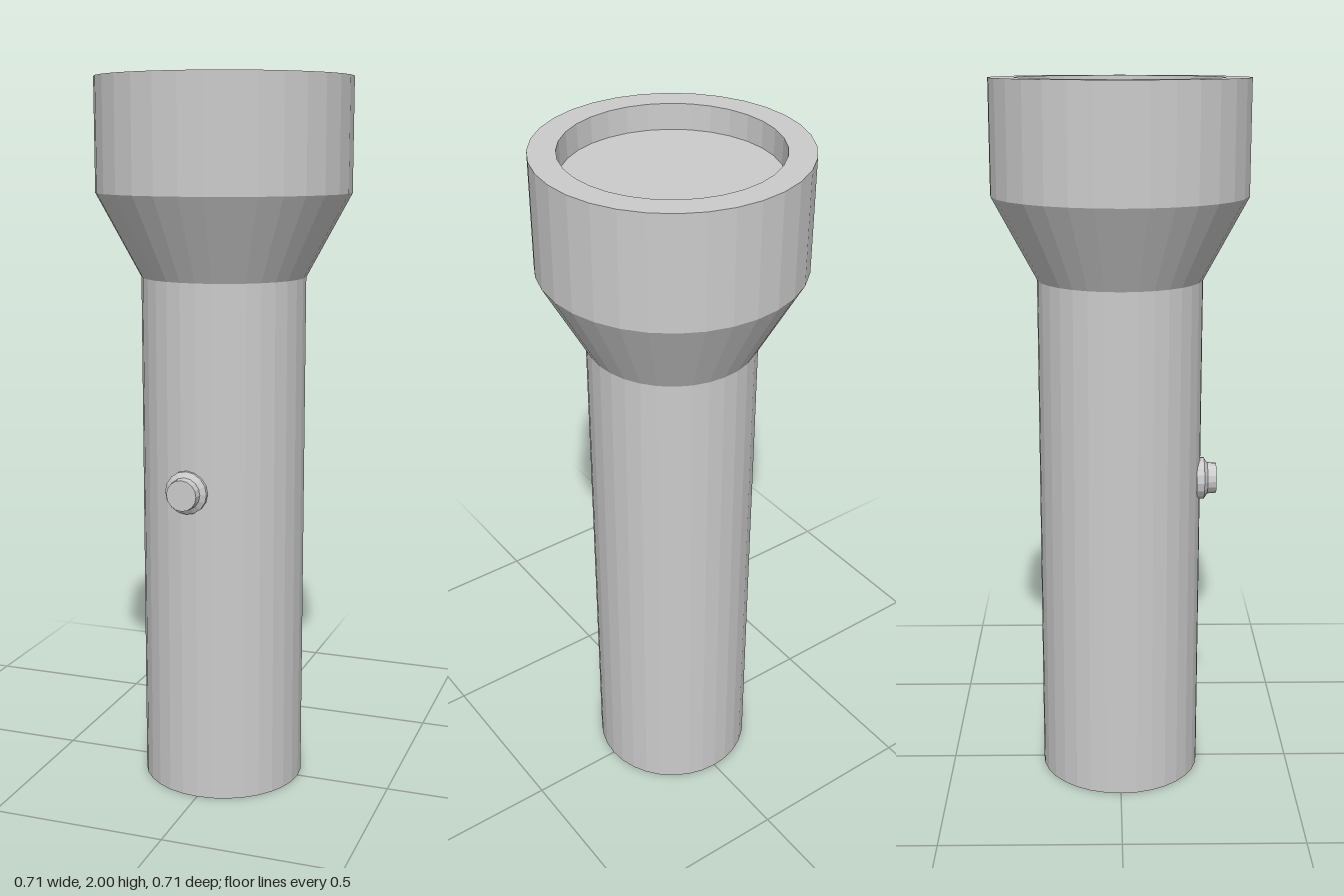
import * as THREE from 'three';

export function createModel() {
  const model = new THREE.Group();
  const material = new THREE.MeshStandardMaterial({ color: 0xcccccc, flatShading: true });

  // Turn a [radius, height] profile into a faceted solid
  const turned = (name, profile, sides) => {
    const points = profile.map(([r, y]) => new THREE.Vector2(r, y));
    const mesh = new THREE.Mesh(new THREE.LatheGeometry(points, sides), material);
    mesh.name = name;
    model.add(mesh);
    return mesh;
  };

  // Straight handle with a closed base
  turned('handle', [[0, 0], [0.23, 0], [0.23, 1.46]], 32);

  // Flared head, flat rim and the wall of the recess
  turned('head', [[0.23, 1.46], [0.354, 1.69], [0.354, 2], [0.283, 2], [0.281, 1.93]], 32);

  // Lens at the bottom of the recess
  turned('lens', [[0.281, 1.93], [0, 1.93]], 32);

  // Push button with a flared collar, facing forward
  const button = turned('button', [[0.06, 0], [0.06, 0.022], [0.045, 0.032], [0.043, 0.057], [0, 0.057]], 16);
  button.rotation.x = Math.PI / 2;
  button.position.set(-0.026, 0.89, 0.216);

  return model;
}
